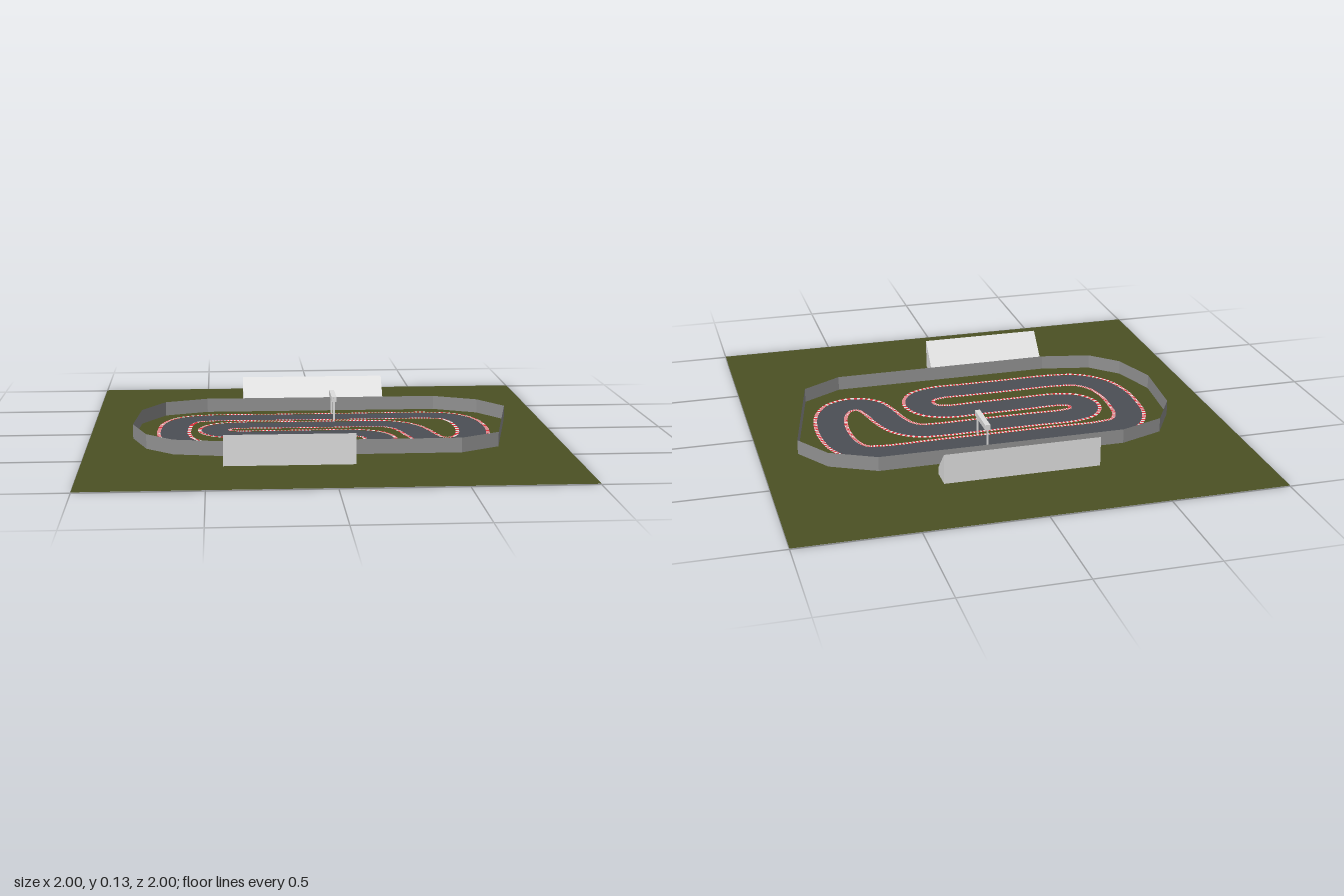
import * as THREE from 'three';

const paint = (name, color, side = THREE.FrontSide) => {
  const m = new THREE.MeshStandardMaterial({ color, side });
  m.name = name;
  return m;
};

export function createModel() {
  const grass = paint('grass', 0x4b5124, THREE.DoubleSide);
  const asphalt = paint('asphalt', 0x4b4f55);
  const red = paint('kerb red', 0xe0303c);
  const white = paint('kerb white', 0xe4e2e0);
  const concrete = paint('concrete', 0x909090, THREE.DoubleSide);
  const pale = paint('pale grey', 0xdddddd);

  const model = new THREE.Group();
  model.name = 'raceTrack';
  const add = (name, geometry, material, parent = model) => {
    const mesh = new THREE.Mesh(geometry, material);
    mesh.name = name;
    parent.add(mesh);
    return mesh;
  };

  // Ground sheet
  add('ground', new THREE.PlaneGeometry(2, 2).rotateX(-Math.PI / 2).translate(0, 0.003, 0), grass);

  // Centre line of the circuit as x, z points
  const route = [
    [-0.48, -0.278], [-0.25, -0.278], [0, -0.278], [0.25, -0.278], [0.5, -0.278],
    [0.59, -0.25], [0.64, -0.17], [0.66, -0.05], [0.657, 0.06],
    [0.635, 0.16], [0.59, 0.23], [0.525, 0.253], [0.46, 0.22], [0.427, 0.14],
    [0.403, 0.04], [0.365, -0.05], [0.305, -0.1], [0.22, -0.113],
    [0.05, -0.113], [-0.2, -0.113], [-0.375, -0.113],
    [-0.44, -0.087], [-0.467, -0.022], [-0.44, 0.043], [-0.375, 0.068],
    [-0.2, 0.068], [0, 0.068], [0.13, 0.068],
    [0.207, 0.102], [0.239, 0.18], [0.207, 0.258], [0.13, 0.288],
    [0, 0.288], [-0.2, 0.288], [-0.42, 0.288],
    [-0.53, 0.265], [-0.605, 0.19], [-0.638, 0.08], [-0.642, -0.04],
    [-0.625, -0.17], [-0.575, -0.25],
  ];
  const line = new THREE.CatmullRomCurve3(route.map(([x, z]) => new THREE.Vector3(x, 0, z)), true);
  line.arcLengthDivisions = 1000;
  const STEPS = 680;
  const stations = Array.from({ length: STEPS }, (_, i) => {
    const p = line.getPointAt(i / STEPS), t = line.getTangentAt(i / STEPS);
    return { x: p.x, z: p.z, nx: -t.z, nz: t.x };
  });

  // Flat strip between two sideways offsets, keeping only the chosen steps
  function strip(from, to, y, keep) {
    const pos = [];
    const at = (i, d) => {
      const s = stations[i % STEPS];
      return [s.x + s.nx * d, y, s.z + s.nz * d];
    };
    for (let i = 0; i < STEPS; i++) {
      if (!keep(i)) continue;
      const a = at(i, from), b = at(i, to), c = at(i + 1, to), d = at(i + 1, from);
      pos.push(...a, ...b, ...c, ...a, ...c, ...d);
    }
    const g = new THREE.BufferGeometry();
    g.setAttribute('position', new THREE.Float32BufferAttribute(pos, 3));
    g.computeVertexNormals();
    return g;
  }
  add('trackSurface', strip(-0.06, 0.06, 0.006, () => true), asphalt);
  for (const [side, from, to] of [['outer', -0.074, -0.058], ['inner', 0.058, 0.074]]) {
    add(side + 'KerbRed', strip(from, to, 0.008, i => i % 2 === 0), red);
    add(side + 'KerbWhite', strip(from, to, 0.008, i => i % 2 === 1), white);
  }

  // Thin faceted wall around the circuit
  const ring = [
    [0.55, 0.45], [0.72, 0.35], [0.84, -0.19], [0.74, -0.345], [0.55, -0.44],
    [-0.5, -0.44], [-0.69, -0.37], [-0.79, -0.2], [-0.815, 0.1], [-0.75, 0.3],
    [-0.635, 0.41], [-0.42, 0.455],
  ];
  const wall = [];
  ring.forEach(([x, z], i) => {
    const [u, w] = ring[(i + 1) % ring.length];
    wall.push(x, 0, z, u, 0, w, u, 0.065, w, x, 0, z, u, 0.065, w, x, 0.065, z);
  });
  const wallGeometry = new THREE.BufferGeometry();
  wallGeometry.setAttribute('position', new THREE.Float32BufferAttribute(wall, 3));
  wallGeometry.computeVertexNormals();
  add('barrierWall', wallGeometry, concrete);

  // Grandstands: wedge section, low edge towards the track
  function grandstand(name, x0, x1, z, turn) {
    const section = new THREE.Shape([[-0.049, 0], [0.049, 0], [0.049, 0.03], [-0.049, 0.13]]
      .map(([a, b]) => new THREE.Vector2(a, b)));
    const g = new THREE.ExtrudeGeometry(section, { depth: x1 - x0, bevelEnabled: false });
    g.translate(0, 0, -(x1 - x0) / 2).rotateY(turn);
    add(name, g, pale).position.set((x0 + x1) / 2, 0, z);
  }
  grandstand('frontGrandstand', -0.432, 0.098, 0.579, Math.PI / 2);
  grandstand('backGrandstand', -0.333, 0.323, -0.576, -Math.PI / 2);

  // Start gantry spanning the back straight
  const gantry = new THREE.Group();
  gantry.name = 'startGantry';
  model.add(gantry);
  add('gantryBeam', new THREE.BoxGeometry(0.022, 0.024, 0.165), pale, gantry).position.set(0.069, 0.103, -0.274);
  for (const z of [-0.354, -0.194]) {
    add('gantryLeg', new THREE.BoxGeometry(0.008, 0.11, 0.006), pale, gantry).position.set(0.069, 0.058, z);
  }
  return model;
}
